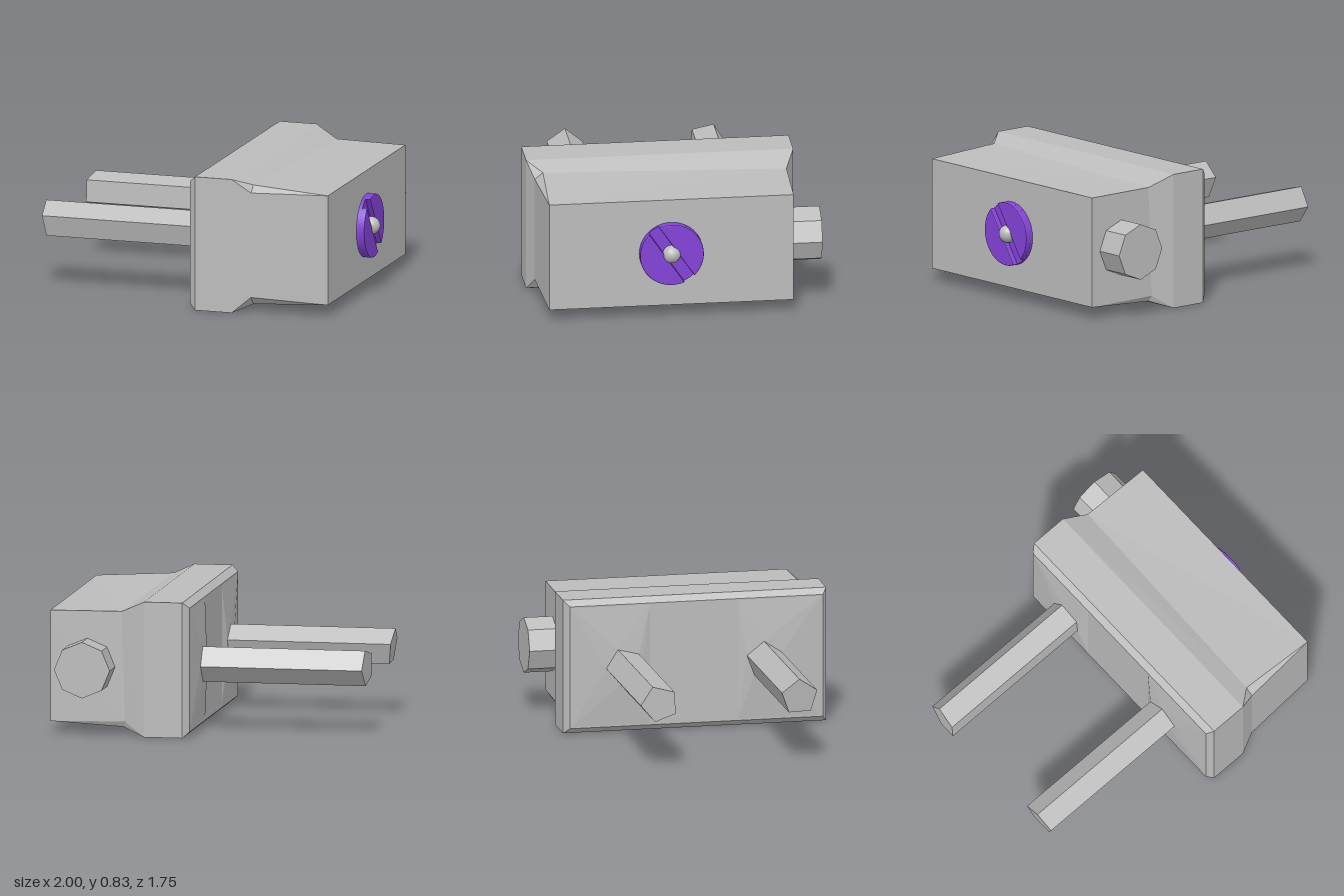
import * as THREE from 'three';
import { ConvexGeometry } from 'three/addons/geometries/ConvexGeometry.js';

const V = (x, y, z) => new THREE.Vector3(x, y, z);

// Rectangular section at x, as eight corners (each one doubled)
function rect(x, y0, y1, z0, z1) {
  const c = [V(x, y1, z1), V(x, y0, z1), V(x, y0, z0), V(x, y1, z0)];
  return c.flatMap((p) => [p, p]);
}

// Flat-shaded loft through matching sections, closed at both ends
function loft(sections) {
  const pos = [];
  const tri = (a, b, c) => {
    const area = b.clone().sub(a).cross(c.clone().sub(a)).length();
    if (area > 1e-7) for (const p of [a, b, c]) pos.push(p.x, p.y, p.z);
  };
  const n = sections[0].length;
  for (let k = 0; k < sections.length - 1; k++) {
    const s = sections[k], t = sections[k + 1];
    for (let i = 0; i < n; i++) {
      const j = (i + 1) % n;
      tri(s[i], s[j], t[j]);
      tri(s[i], t[j], t[i]);
    }
  }
  const first = sections[0], last = sections[sections.length - 1];
  for (let i = 1; i < n - 1; i++) {
    tri(last[0], last[i], last[i + 1]);
    tri(first[0], first[i + 1], first[i]);
  }
  const g = new THREE.BufferGeometry();
  g.setAttribute('position', new THREE.Float32BufferAttribute(pos, 3));
  g.computeVertexNormals();
  return g;
}

// Five-sided ring in the yz plane; xAt gives x for each corner
function pentagon(y, z, r, turn, xAt) {
  return Array.from({ length: 5 }, (_, i) => {
    const a = turn + (i * Math.PI * 2) / 5;
    const dy = Math.cos(a) * r, dz = Math.sin(a) * r;
    return V(xAt(dy, dz), y + dy, z + dz);
  });
}

export function createModel() {
  const group = new THREE.Group();
  const grey = new THREE.MeshStandardMaterial({ color: 0xbcbcbc });
  grey.name = 'grey plastic';
  const purple = new THREE.MeshStandardMaterial({ color: 0x8442d8 });
  purple.name = 'purple plastic';
  const add = (name, geometry, material) => {
    const mesh = new THREE.Mesh(geometry, material);
    mesh.name = name;
    group.add(mesh);
    return mesh;
  };

  // Housing: thick flange stepping down to a slightly tapered block
  const shoulder = [
    V(0.43, 0.79, 0.78), V(0.43, 0.75, 0.83), V(0.43, 0.1, 0.83), V(0.43, 0.05, 0.78),
    V(0.46, 0.055, -0.69), V(0.45, 0.09, -0.71), V(0.47, 0.765, -0.705), V(0.47, 0.765, -0.705),
  ];
  add('housing', loft([
    rect(0.045, 0.04, 0.8, -0.73, 0.84),
    rect(0.085, 0.005, 0.835, -0.765, 0.87),
    rect(0.32, 0.005, 0.835, -0.765, 0.87),
    shoulder,
    rect(0.912, 0.08, 0.76, -0.695, 0.8),
  ]), grey);

  // Two five-sided prongs, each rising from a shallow flared base
  const prongs = [
    { name: 'rearProng', z: -0.395, turn: -0.38, z0: -0.73, z1: -0.23,
      tip: (dy, dz) => -0.988 - dz * 0.11 },
    { name: 'frontProng', z: 0.475, turn: -0.04, z0: 0.31, z1: 0.84,
      tip: (dy) => -0.984 - dy * 0.13 },
  ];
  for (const p of prongs) {
    const root = pentagon(0.417, p.z, 0.115, p.turn, () => 0.02);
    const end = pentagon(0.417, p.z, 0.115, p.turn, p.tip);
    add(p.name, new ConvexGeometry([...root, ...end]), grey);
    const base = rect(0.046, 0.04, 0.8, p.z0, p.z1).filter((_, i) => i % 2 === 0);
    add(p.name + 'Base', new ConvexGeometry([...root, ...base]), grey);
  }

  // Octagonal knob on the back
  const knob = new THREE.CylinderGeometry(0.172, 0.172, 0.18, 8).toNonIndexed();
  knob.rotateX(Math.PI / 2);
  knob.rotateZ(Math.PI / 2);
  knob.computeVertexNormals();
  add('sideKnob', knob, grey).position.set(0.683, 0.422, -0.79);

  // Slotted dial: a thin disc carrying two rounded segments
  const cy = 0.42, cz = 0.055, R = 0.195, half = 0.036;
  const disc = new THREE.CylinderGeometry(R, R, 0.022, 40);
  disc.rotateZ(-Math.PI / 2);
  add('dialDisc', disc, purple).position.set(0.921, cy, cz);

  const bevel = 0.006;
  const r = R - bevel, h = half + bevel, a0 = Math.asin(h / r);
  const segment = new THREE.Shape();
  segment.absarc(0, 0, r, a0, Math.PI - a0, false);
  segment.closePath();
  for (const side of [0, 1]) {
    const g = new THREE.ExtrudeGeometry(segment, {
      depth: 0.024, curveSegments: 28,
      bevelEnabled: true, bevelThickness: bevel, bevelSize: bevel, bevelSegments: 2,
    });
    g.rotateZ(-0.975 + side * Math.PI);
    g.rotateY(Math.PI / 2);
    add(side ? 'lowerDialSegment' : 'upperDialSegment', g, purple).position.set(0.933, cy, cz);
  }

  // Small ball at the dial centre
  add('dialBall', new THREE.SphereGeometry(0.055, 24, 16), grey).position.set(0.943, cy, cz);

  return group;
}
